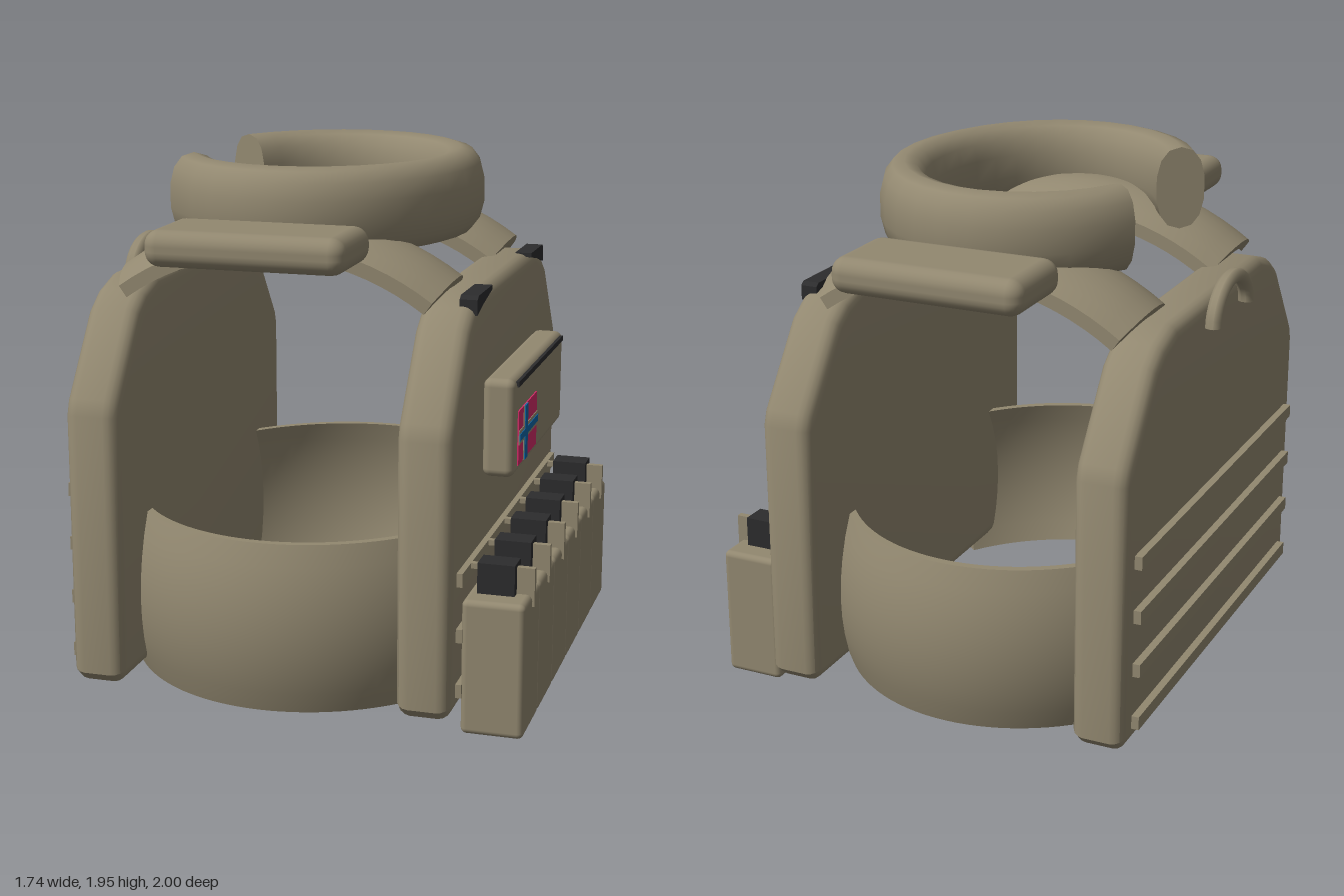
import * as THREE from 'three';
import { toCreasedNormals } from 'three/addons/utils/BufferGeometryUtils.js';
import { RoundedBoxGeometry } from 'three/addons/geometries/RoundedBoxGeometry.js';

const material = (name, color) => {
  const m = new THREE.MeshStandardMaterial({ color });
  m.name = name;
  return m;
};

// Sweeps a cross-section of [outward, sideways] points along an elliptical arc, with end caps.
function sweepArc(ra, rb, from, to, steps, section, place) {
  const n = section.length, pos = [], index = [];
  for (let i = 0; i <= steps; i++) {
    const a = THREE.MathUtils.degToRad(from + (to - from) * i / steps);
    for (const [o, w] of section) pos.push(...place((ra + o) * Math.cos(a), (rb + o) * Math.sin(a), w));
  }
  for (let i = 0; i < steps; i++) {
    for (let j = 0; j < n; j++) {
      const a = i * n + j, c = i * n + (j + 1) % n;
      index.push(a, c, a + n, a + n, c, c + n);
    }
  }
  // caps run between opposite section points, which suits curved bands
  const last = steps * n;
  for (let l = 0, r = n - 1; l + 1 <= r - 1 || l < r - 1; l++, r--) {
    const quad = l + 1 < r - 1 ? [[l, r, l + 1], [l + 1, r, r - 1]] : [[l, r, l + 1]];
    for (const [a, b, c] of quad) {
      index.push(a, b, c, last + a, last + c, last + b);
    }
  }
  const g = new THREE.BufferGeometry();
  g.setAttribute('position', new THREE.Float32BufferAttribute(pos, 3));
  g.setIndex(index);
  return toCreasedNormals(g, 0.7);
}

// Cross-section of a strip that bulges outward in the middle
function crowned(half, thick, sag) {
  const outer = [], inner = [];
  for (let i = 0; i <= 8; i++) {
    const t = i / 4 - 1, o = -sag * t * t;
    outer.push([o, half * t]);
    inner.unshift([o - thick, half * t]);
  }
  return [...outer, ...inner];
}

function oval(o, w, sides, power = 1) {
  const bend = v => Math.sign(v) * Math.abs(v) ** power;
  return Array.from({ length: sides }, (_, i) => {
    const a = (i + 0.5) / sides * Math.PI * 2;
    return [o * bend(Math.cos(a)), w * bend(Math.sin(a))];
  });
}

// Extrudes a [z, y] outline along x, centred on the origin in x
function sideExtrude(points, depth, bevel) {
  const shape = new THREE.Shape(points.map(([z, y]) => new THREE.Vector2(-z, y)));
  const g = new THREE.ExtrudeGeometry(shape, {
    depth: depth - 2 * bevel, bevelEnabled: bevel > 0,
    bevelSize: bevel, bevelThickness: bevel, bevelOffset: -bevel, bevelSegments: 4,
  });
  g.translate(0, 0, bevel - depth / 2).rotateY(Math.PI / 2);
  return bevel > 0 ? toCreasedNormals(g, 0.6) : g;
}

export function createModel() {
  const model = new THREE.Group();
  model.name = 'armourVest';
  const tan = material('tan fabric', 0x928870);
  const black = material('black plastic', 0x2c2c2d);
  const red = material('flag red', 0xd42c68);
  const blue = material('flag blue', 0x0c66a6);

  const add = (name, geometry, mat, x = 0, y = 0, z = 0) => {
    const mesh = new THREE.Mesh(geometry, mat);
    mesh.name = name;
    mesh.position.set(x, y, z);
    model.add(mesh);
    return mesh;
  };
  // Boxes are given by their limits on each axis
  const box = (name, mat, [x0, x1], [y0, y1], [z0, z1], radius = 0) => {
    const s = [x1 - x0, y1 - y0, z1 - z0];
    const g = radius ? new RoundedBoxGeometry(...s, 3, radius) : new THREE.BoxGeometry(...s);
    return add(name, g, mat, (x0 + x1) / 2, (y0 + y1) / 2, (z0 + z1) / 2);
  };

  // Chest and back plates
  const half = [[0.87, 0.075], [0.905, 0.11], [0.905, 1.08], [0.885, 1.14],
    [0.67, 1.43], [0.59, 1.485], [0.46, 1.525]];
  const outline = [...half.map(([z, y]) => [-z, y]), ...half.slice().reverse()];
  const plate = sideExtrude(outline.reverse(), 0.2, 0.05);
  add('chestPlate', plate, tan, 0.515);
  add('backPlate', plate, tan, -0.71);

  // Side bands, shoulder straps and shoulder pads
  for (const s of [1, -1]) {
    const mid = s * 90;
    add('sideBand', sweepArc(0.8, 0.928, mid - 52, mid + 52, 32, crowned(0.315, 0.03, 0.06),
      (e, f, w) => [e, w, f]), tan, -0.1, 0.345);
    add('shoulderStrap', sweepArc(1.07, 1.07, 54.5, 125.5, 20, crowned(0.215, 0.05, 0.07),
      (e, f, w) => [e, f, -w]), tan, -0.1, 0.7, s * 0.458);
    box('shoulderPad', tan, [-0.46, 0.26], [1.645, 1.775], s > 0 ? [0.645, 1] : [-1, -0.645], 0.055);
  }

  // Collar, open towards the back plate
  add('collar', sweepArc(0.495, 0.59, -149, 149, 26, oval(0.093, 0.157, 14, 0.85),
    (e, f, w) => [e, w, f]), tan, -0.1, 1.8);

  // Carry handle on the back plate
  add('carryHandle', sweepArc(0.18, 0.14, 0, 180, 18, oval(0.028, 0.03, 10),
    (e, f, w) => [w, f, e]), tan, -0.84, 1.435);

  // Webbing rows
  for (const y of [0.165, 0.37, 0.575, 0.78]) {
    box('backWebbing', tan, [-0.838, -0.8], [y - 0.025, y + 0.025], [-0.82, 0.82]);
    if (y < 0.7) box('chestWebbing', tan, [0.6, 0.637], [y - 0.025, y + 0.025], [-0.82, 0.82]);
  }

  // Magazine pouches with magazines and retaining straps
  for (let i = 0; i < 6; i++) {
    const z = (i - 2.5) * 0.273;
    box('magazinePouch', tan, [0.632, 0.858], [0.005, 0.503], [z - 0.135, z + 0.135], 0.022);
    box('magazine', black, [0.668, 0.802], [0.45, 0.615], [z - 0.048, z + 0.048]);
    box('retainerTop', tan, [0.61, 0.866], [0.58, 0.6], [z - 0.012, z + 0.012]);
    box('retainerTab', tan, [0.8, 0.866], [0.46, 0.6], [z - 0.012, z + 0.012]);
  }

  // Admin pouch with zip
  box('adminPouch', tan, [0.612, 0.73], [0.845, 1.208], [-0.45, 0.452], 0.03);
  box('zip', black, [0.725, 0.737], [1.175, 1.195], [-0.41, 0.41]);

  // Flag patch, each layer a thin plate over the one below
  const [fy, fz] = [0.983, 0.28];
  const layer = (name, mat, x, y, z) => box(name, mat, [x - 0.006, x], y, z);
  layer('flagField', red, 0.735, [0.88, 1.083], [0.072, 0.392]);
  const around = (c, h) => [c - h, c + h];
  layer('flagBorderUpright', tan, 0.738, [0.88, 1.083], around(fz, 0.032));
  layer('flagBorderBar', tan, 0.738, around(fy, 0.026), [0.072, 0.392]);
  layer('flagCrossUpright', blue, 0.741, [0.88, 1.083], around(fz, 0.022));
  layer('flagCrossBar', blue, 0.741, around(fy, 0.013), [0.072, 0.392]);

  // Quick-release buckles on the chest plate shoulders
  for (const s of [1, -1]) {
    const points = [[0.572, 1.46], [0.48, 1.485], [0.342, 1.512], [0.342, 1.528], [0.555, 1.528], [0.572, 1.515]];
    add('buckle', sideExtrude(points.map(([z, y]) => [s * z, y]), 0.064, 0), black, 0.586);
  }

  return model;
}
